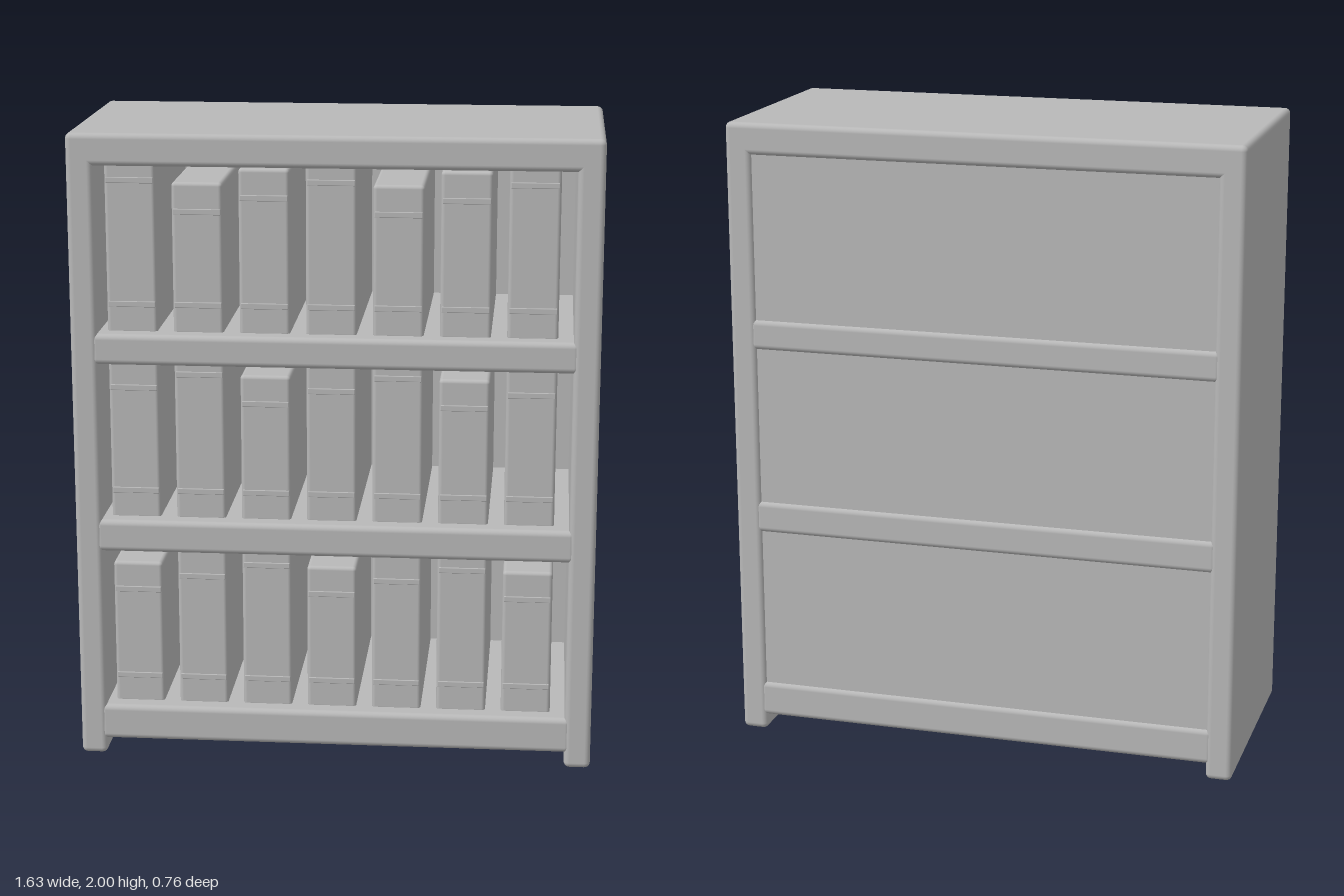
import * as THREE from 'three';
import { RoundedBoxGeometry } from 'three/addons/geometries/RoundedBoxGeometry.js';

export function createModel() {
  const model = new THREE.Group();
  model.name = 'bookcase';
  const grey = new THREE.MeshStandardMaterial({ color: 0xb8b8b8 });
  grey.name = 'plain grey';

  // Rounded block given by its lower and upper limits on each axis
  function block(name, [x0, x1], [y0, y1], [z0, z1], radius, parent = model) {
    const geometry = new RoundedBoxGeometry(x1 - x0, y1 - y0, z1 - z0, 3, radius);
    const mesh = new THREE.Mesh(geometry, grey);
    mesh.position.set((x0 + x1) / 2, (y0 + y1) / 2, (z0 + z1) / 2);
    mesh.name = name;
    parent.add(mesh);
    return mesh;
  }

  // Case: two sides, the top and the recessed back
  const depth = [-0.38, 0.38];
  block('leftSide', [0.73, 0.813], [0, 2], depth, 0.018);
  block('rightSide', [-0.813, -0.73], [0, 2], depth, 0.018);
  block('top', [-0.813, 0.813], [1.9, 2], depth, 0.018);
  block('backPanel', [-0.75, 0.75], [0.08, 1.95], [-0.368, -0.33], 0.002);

  // Shelves
  const shelves = [[0.05, 0.165], [0.68, 0.783], [1.283, 1.38]];
  shelves.forEach((span) => block('shelf', [-0.75, 0.75], span, [-0.378, 0.378], 0.018));

  // Books: tops of the seven in each row, tallest ones reach up behind the rail above
  const bookTops = [
    [0.63, 0.678, 0.72, 0.63, 0.678, 0.72, 0.63],
    [1.29, 1.335, 1.245, 1.29, 1.335, 1.245, 1.29],
    [1.94, 1.845, 1.89, 1.94, 1.845, 1.89, 1.94],
  ];
  const bookFront = 0.32;
  bookTops.forEach((tops, row) => {
    const floor = shelves[row][1];
    tops.forEach((top, column) => {
      const x = -0.628 + column * 0.2055;
      const book = new THREE.Group();
      book.name = 'book';
      model.add(book);
      block('bookBody', [x - 0.078, x + 0.078], [floor - 0.01, top], [-0.33, bookFront], 0.012, book);
      // Raised bands across the spine
      for (const y of [floor + 0.085, top - 0.09]) {
        block('spineBand', [x - 0.073, x + 0.073], [y - 0.009, y + 0.009],
          [bookFront - 0.005, bookFront + 0.004], 0.002, book);
      }
    });
  });

  return model;
}
